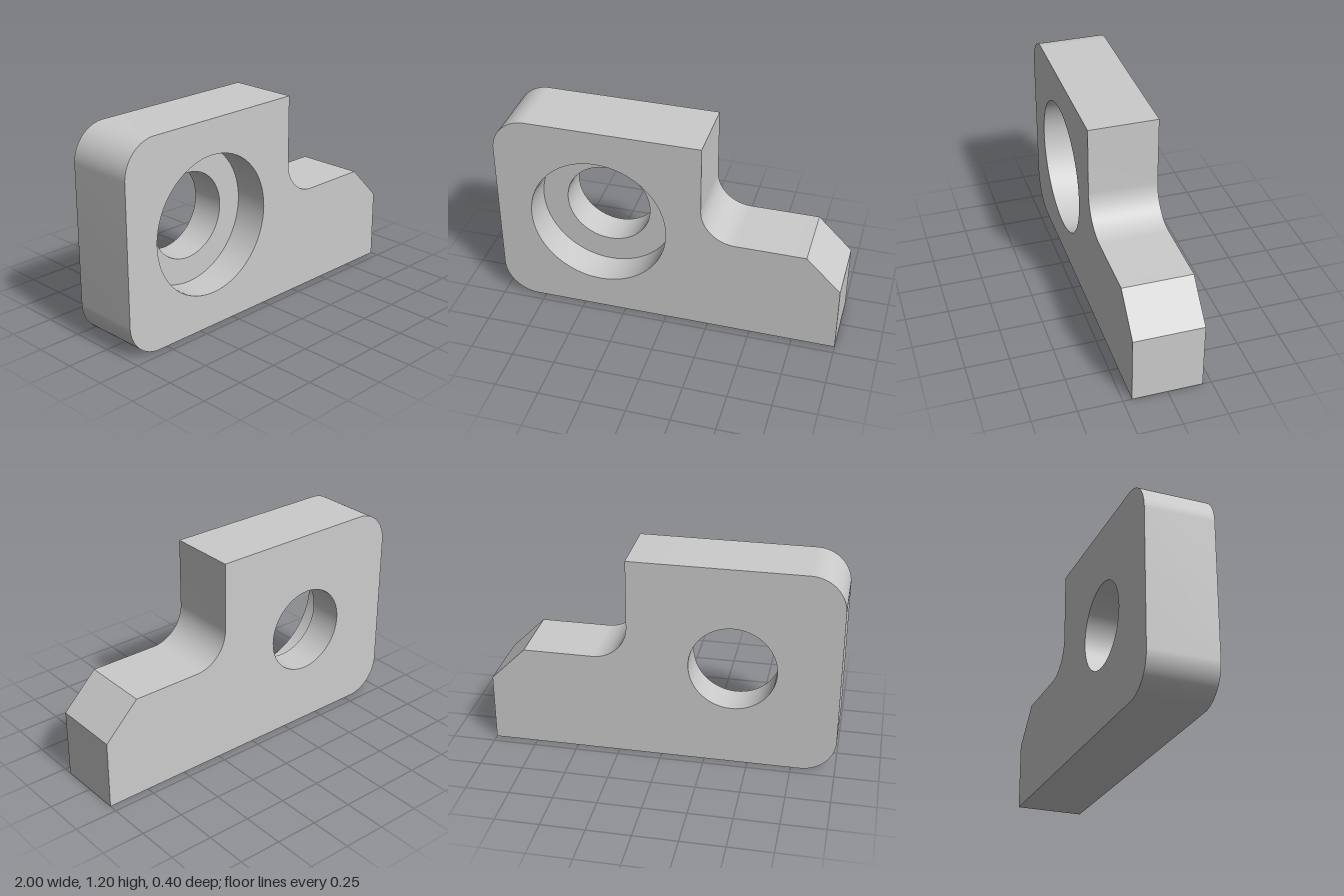
import * as THREE from 'three';
import { mergeGeometries, toCreasedNormals } from 'three/addons/utils/BufferGeometryUtils.js';

const HALF = 0.2; // half the plate thickness
const FLOOR = 0; // depth at which the wide recess ends
const CX = -0.4, CY = 0.6; // centre of the bore
const OUTLINE_STEPS = 12, CIRCLE_STEPS = 32;

// Side profile: two rounded corners, a filleted step and a chamfered toe
function outline() {
  const s = new THREE.Shape();
  s.moveTo(-0.8, 0);
  s.lineTo(1, 0);
  s.lineTo(1, 0.4);
  s.lineTo(0.8, 0.6);
  s.lineTo(0.4, 0.6);
  s.absarc(0.4, 0.8, 0.2, -Math.PI / 2, -Math.PI, true);
  s.lineTo(0.2, 1.2);
  s.lineTo(-0.8, 1.2);
  s.absarc(-0.8, 1, 0.2, Math.PI / 2, Math.PI, false);
  s.lineTo(-1, 0.2);
  s.absarc(-0.8, 0.2, 0.2, Math.PI, Math.PI * 1.5, false);
  return s.getPoints(OUTLINE_STEPS);
}

function circle(radius, clockwise) {
  const p = new THREE.Path().absarc(CX, CY, radius, 0, Math.PI * 2, clockwise);
  return p.getPoints(CIRCLE_STEPS);
}

// Flat face with one hole, facing +z or -z
function face(points, hole, z, backward = false) {
  const shape = new THREE.Shape(points);
  shape.holes.push(new THREE.Path(hole));
  const g = new THREE.ShapeGeometry(shape);
  if (backward) g.index.array.reverse();
  g.translate(0, 0, z);
  g.deleteAttribute('uv');
  g.deleteAttribute('normal');
  return g.toNonIndexed();
}

// Wall swept along z; the solid lies to the left of the path
function wall(points, z0, z1) {
  const pos = [];
  points.forEach((a, i) => {
    const b = points[(i + 1) % points.length];
    if (a.distanceTo(b) < 1e-6) return;
    pos.push(a.x, a.y, z0, b.x, b.y, z0, b.x, b.y, z1);
    pos.push(a.x, a.y, z0, b.x, b.y, z1, a.x, a.y, z1);
  });
  const g = new THREE.BufferGeometry();
  g.setAttribute('position', new THREE.Float32BufferAttribute(pos, 3));
  return g;
}

export function createModel() {
  const group = new THREE.Group();
  group.name = 'bracket';
  const material = new THREE.MeshStandardMaterial({ color: 0xcccccc });
  const add = (name, parts) => {
    const mesh = new THREE.Mesh(toCreasedNormals(mergeGeometries(parts), 0.5), material);
    mesh.name = name;
    group.add(mesh);
  };

  const profile = outline();
  const wide = circle(0.4, true);
  const narrow = circle(0.25, true);

  // Plate body
  add('plate', [
    face(profile, wide, HALF),
    face(profile, narrow, -HALF, true),
    wall(profile, -HALF, HALF),
  ]);

  // Wide front recess with its ring-shaped floor
  add('counterbore', [
    wall(wide, FLOOR, HALF),
    face(circle(0.4, false), narrow, FLOOR),
  ]);

  // Narrow hole through to the back
  add('throughHole', [wall(narrow, -HALF, FLOOR)]);

  return group;
}
